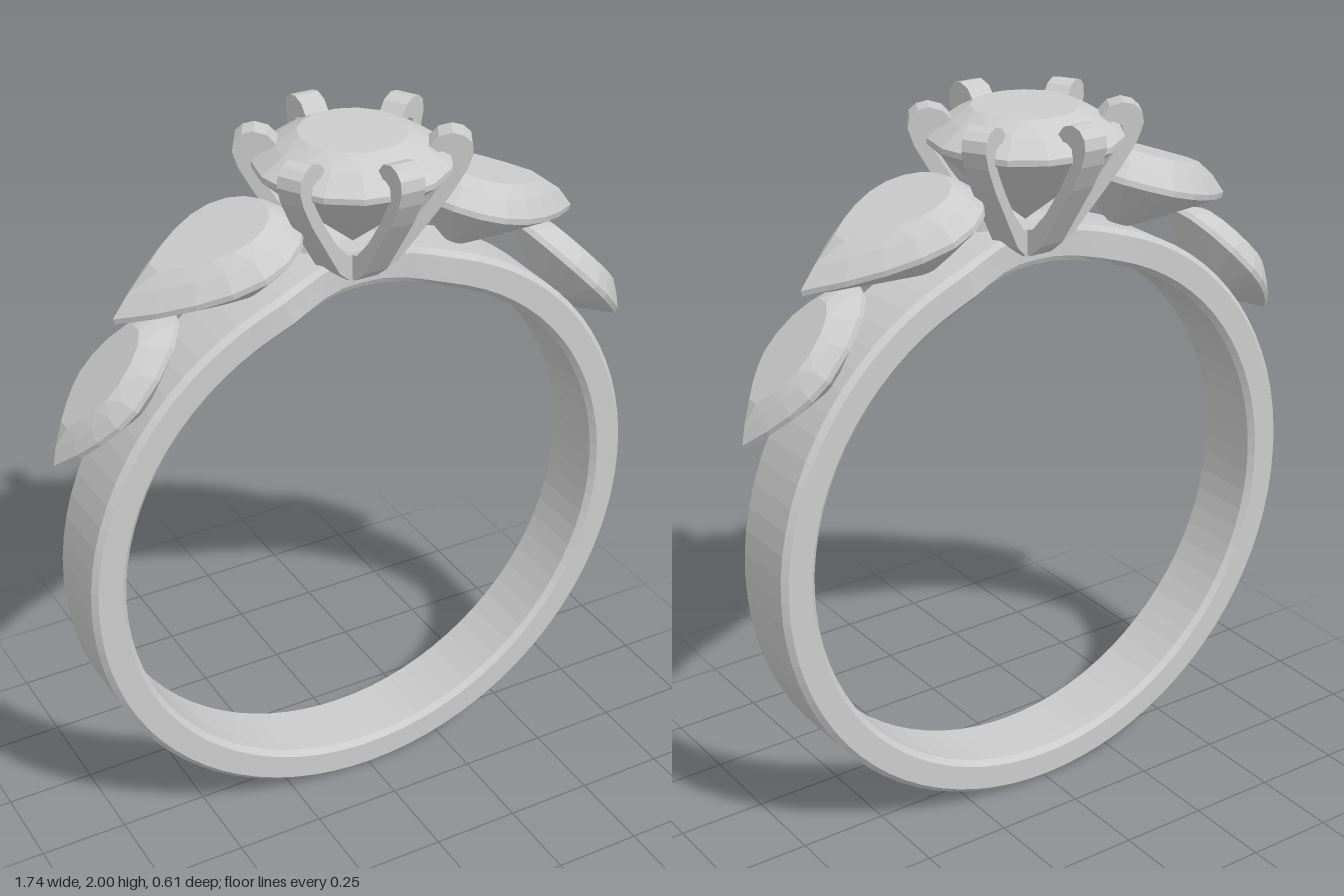
import * as THREE from 'three';

const material = () => new THREE.MeshStandardMaterial({ color: 0xcccccc, flatShading: true });

function addMesh(parent, name, geometry) {
  const mesh = new THREE.Mesh(geometry, material());
  mesh.name = name;
  parent.add(mesh);
  return mesh;
}

// Outline of a gem at t in 0..1 around: pointed tip on +x, round end on -x
const pear = (tip, back, width) => (t) => {
  const s = ((t % 1) + 1) % 1;
  const side = s < 0.5 ? -1 : 1;
  const q = s < 0.5 ? s * 4 : (1 - s) * 4; // 0 tip, 1 widest, 2 back
  if (q < 1) return [tip * (1 - q), side * width * (1 - Math.pow(1 - q, 1.7))];
  const a = (q - 1) * Math.PI / 2;
  return [-back * Math.sin(a), side * width * Math.cos(a)];
};
const round = (r) => (t) => [r * Math.cos(t * Math.PI * 2), -r * Math.sin(t * Math.PI * 2)];

// Faceted gem: rings of [scale, height, half-step offset] joined from table to culet
function gemGeometry(outline, rings, n = 16) {
  const pos = [];
  const loops = rings.map(([s, y, off]) => Array.from({ length: n + 1 }, (_, i) => {
    const [x, z] = outline((i + off) / n);
    return [x * s, y, z * s];
  }));
  for (let k = 0; k < rings.length - 1; k++) {
    const A = loops[k], B = loops[k + 1];
    const lowerShifted = rings[k + 1][2] > rings[k][2];
    for (let i = 0; i < n; i++) {
      const tris = lowerShifted
        ? [[A[i], B[i], A[i + 1]], [A[i + 1], B[i], B[i + 1]]]
        : [[A[i], B[i], B[i + 1]], [A[i], B[i + 1], A[i + 1]]];
      // leave out the collapsed triangles at the table centre and the culet
      if (rings[k][0] === 0) pos.push(...A[i], ...B[i], ...B[i + 1]);
      else if (rings[k + 1][0] === 0) pos.push(...A[i], ...B[i], ...A[i + 1]);
      else tris.forEach((t) => pos.push(...t.flat()));
    }
  }
  const g = new THREE.BufferGeometry();
  g.setAttribute('position', new THREE.Float32BufferAttribute(pos, 3));
  g.computeVertexNormals();
  return g;
}

const gemRings = (crown, depth, table) => [
  [0, crown, 0.5], [table, crown, 0.5], [(1 + table) / 2, crown * 0.62, 0],
  [1, 0.008, 0], [1, -0.008, 0], [0.5, -depth * 0.54, 0], [0, -depth, 0],
];

// Chamfered band that pinches in under the head
function bandGeometry() {
  const section = [
    [0.75, -0.11], [0.82, -0.11], [0.835, -0.095], [0.835, 0.095],
    [0.82, 0.11], [0.75, 0.11], [0.735, 0.095], [0.735, -0.095], [0.75, -0.11],
  ].map(([r, y]) => new THREE.Vector2(r, y));
  const g = new THREE.LatheGeometry(section, 80);
  g.rotateX(Math.PI / 2);
  const p = g.attributes.position;
  for (let i = 0; i < p.count; i++) {
    const angle = Math.abs(Math.atan2(p.getX(i), p.getY(i)));
    const pinch = 1 - THREE.MathUtils.smoothstep(angle, 0.06, 0.36);
    p.setZ(i, p.getZ(i) * (1 - 0.5 * pinch));
  }
  g.translate(0, 0.835, 0);
  g.computeVertexNormals();
  return g;
}

// Hooked claw, drawn outwards along x and given a flat thickness
function prongGeometry() {
  const profile = [
    [0.0, 1.6], [0.07, 1.605], [0.12, 1.645], [0.18, 1.73], [0.25, 1.83], [0.29, 1.9],
    [0.305, 1.945], [0.3, 1.975], [0.28, 1.993], [0.25, 2.0], [0.215, 1.99], [0.192, 1.965],
    [0.195, 1.945], [0.225, 1.95], [0.248, 1.94], [0.252, 1.92], [0.235, 1.88],
    [0.195, 1.815], [0.14, 1.74], [0.08, 1.68], [0.0, 1.66],
  ].map(([x, y]) => new THREE.Vector2(x, y));
  const g = new THREE.ExtrudeGeometry(new THREE.Shape(profile), { depth: 0.068, bevelEnabled: false });
  return g.translate(0, 0, -0.034);
}

export function createModel() {
  const ring = new THREE.Group();
  ring.name = 'ring';

  addMesh(ring, 'band', bandGeometry());

  // Head: round centre stone held by six prongs
  const head = new THREE.Group();
  head.name = 'head';
  ring.add(head);
  const centre = addMesh(head, 'centreStone', gemGeometry(round(0.26), gemRings(0.08, 0.23, 0.55)));
  centre.position.y = 1.912;
  const prong = prongGeometry();
  for (let i = 0; i < 6; i++) {
    addMesh(head, `prong${i + 1}`, prong).rotation.y = Math.PI / 6 + i * Math.PI / 3;
  }

  // Two pear stones stepping down each shoulder
  const large = gemGeometry(pear(0.35, 0.19, 0.19), gemRings(0.08, 0.15, 0.66));
  const small = gemGeometry(pear(0.25, 0.25, 0.13), gemRings(0.06, 0.12, 0.66));
  for (const side of ['left', 'right']) {
    const shoulder = new THREE.Group();
    shoulder.name = `${side}Shoulder`;
    shoulder.rotation.y = side === 'left' ? 0 : Math.PI;
    ring.add(shoulder);
    const upper = addMesh(shoulder, `${side}UpperStone`, large);
    upper.position.set(0.349, 1.734, 0);
    upper.rotation.z = -0.33;
    const lower = addMesh(shoulder, `${side}LowerStone`, small);
    lower.position.set(0.69, 1.43, 0);
    lower.rotation.z = -0.805;
  }
  return ring;
}
